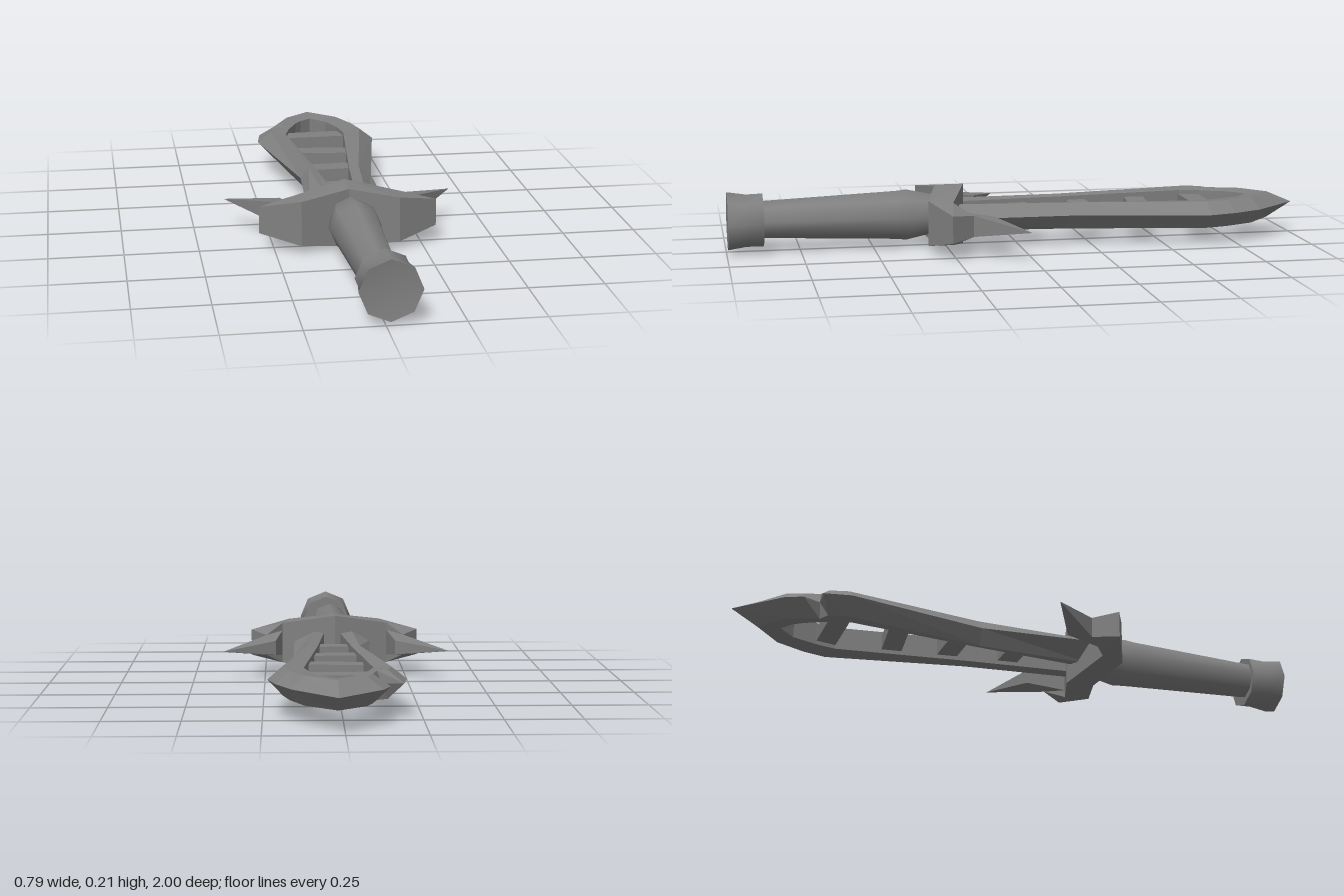
import * as THREE from 'three';
import { toCreasedNormals } from 'three/addons/utils/BufferGeometryUtils.js';
import { ConvexGeometry } from 'three/addons/geometries/ConvexGeometry.js';

const MID = 0.108; // height of the sword's centre plane

// Convex slab from [x, z, halfHeight] corners, symmetric about the centre plane
function slab(corners) {
  const pts = [];
  for (const [x, z, h] of corners) {
    pts.push(new THREE.Vector3(x, MID + h, z));
    if (h > 0) pts.push(new THREE.Vector3(x, MID - h, z));
  }
  return new ConvexGeometry(pts);
}

// Eight-sided turned part along z from [radius, z] points
function turned(profile, x) {
  const geo = new THREE.LatheGeometry(profile.map(([r, z]) => new THREE.Vector2(r, z)), 8);
  geo.rotateX(Math.PI / 2);
  geo.translate(x, MID + 0.004, 0);
  return toCreasedNormals(geo, 0.9);
}

// Open blade frame: sharp outer edge, raised ridge and upright inner wall
function bladeFrame() {
  // outer x, z; ridge x, z; inner x, z; from left base round the tip to right base
  const stations = [
    [-0.13, 0.25, -0.06, 0.25, -0.015, 0.25],
    [-0.105, -0.16, -0.075, -0.16, -0.05, -0.16],
    [-0.205, -0.64, -0.155, -0.64, -0.1, -0.62],
    [-0.19, -0.735, -0.14, -0.705, -0.08, -0.69],
    [-0.12, -0.73, -0.105, -0.725, -0.07, -0.71],
    [-0.145, -0.79, -0.09, -0.785, -0.045, -0.765],
    [-0.12, -0.85, -0.07, -0.835, -0.02, -0.8],
    [0.02, -1, 0.02, -0.91, 0.02, -0.83],
    [0.16, -0.84, 0.12, -0.82, 0.075, -0.775],
    [0.21, -0.735, 0.165, -0.72, 0.105, -0.69],
    [0.235, -0.64, 0.185, -0.64, 0.12, -0.62],
    [0.15, -0.16, 0.105, -0.16, 0.07, -0.16],
    [0.145, 0.25, 0.07, 0.25, 0.035, 0.25],
  ];
  const pos = [], index = [];
  stations.forEach(([ox, oz, rx, rz, ix, iz], s) => {
    const h = 0.046;
    pos.push(ox, 0.115, oz, rx, MID + h, rz, ix, MID + h - 0.006, iz,
      ix, MID - h + 0.006, iz, rx, MID - h, rz);
    if (s === stations.length - 1) return;
    for (let k = 0; k < 5; k++) {
      const a = s * 5 + k, b = s * 5 + (k + 1) % 5;
      index.push(a, b, b + 5, a, b + 5, a + 5);
    }
  });
  const geo = new THREE.BufferGeometry();
  geo.setAttribute('position', new THREE.Float32BufferAttribute(pos, 3));
  geo.setIndex(index);
  const flat = geo.toNonIndexed();
  flat.computeVertexNormals();
  return flat;
}

export function createModel() {
  const group = new THREE.Group();
  const flatGrey = new THREE.MeshStandardMaterial({ color: 0x808080 });
  flatGrey.name = 'grey';
  const add = (name, geo, parent = group) => {
    const mesh = new THREE.Mesh(geo, flatGrey);
    mesh.name = name;
    parent.add(mesh);
  };

  add('bladeFrame', bladeFrame());

  // Cross bars: left x, left z, right x, right z
  const rungs = [
    [-0.105, -0.65, 0.13, -0.653],
    [-0.075, -0.443, 0.105, -0.423],
    [-0.06, -0.225, 0.085, -0.23],
    [-0.045, -0.01, 0.065, -0.015],
  ];
  for (const [lx, lz, rx, rz] of rungs) {
    const d = 0.035, h = 0.026;
    add('bladeRung', slab([[lx, lz - d, h], [lx, lz + d, h], [rx, rz + d, h], [rx, rz - d, h]]));
  }

  // Guard: tapering arm, end block and swept spike on each side
  const guard = new THREE.Group();
  guard.name = 'guard';
  group.add(guard);
  const armFront = [0.165, 0.33, 0.077], armBack = [0.188, 0.248, 0.072];
  const endFront = [0.3, 0.267, 0.046], endBack = [0.245, 0.188, 0.036];
  const pieces = {
    guardArm: [[0, 0.285, 0.1], [0, 0.185, 0.105], armBack, armFront],
    guardEnd: [armFront, armBack, endBack, endFront],
    guardSpike: [[0.188, 0.248, 0.045], endBack, [0.396, 0.018, 0], [0.212, 0.112, 0.025]],
  };
  for (const side of [1, -1]) {
    for (const [name, corners] of Object.entries(pieces)) {
      add(name, slab(corners.map(([x, z, h]) => [x * side, z, h])), guard);
    }
  }

  // Grip and pommel with a slightly dished end
  add('grip', turned([[0.065, 0.26], [0.072, 0.31], [0.088, 0.385], [0.084, 0.42], [0.063, 0.9]], 0.004));
  add('pommel', turned([[0, 0.875], [0.092, 0.875], [0.09, 0.93], [0.1, 0.995], [0, 0.98]], 0.016));

  return group;
}
